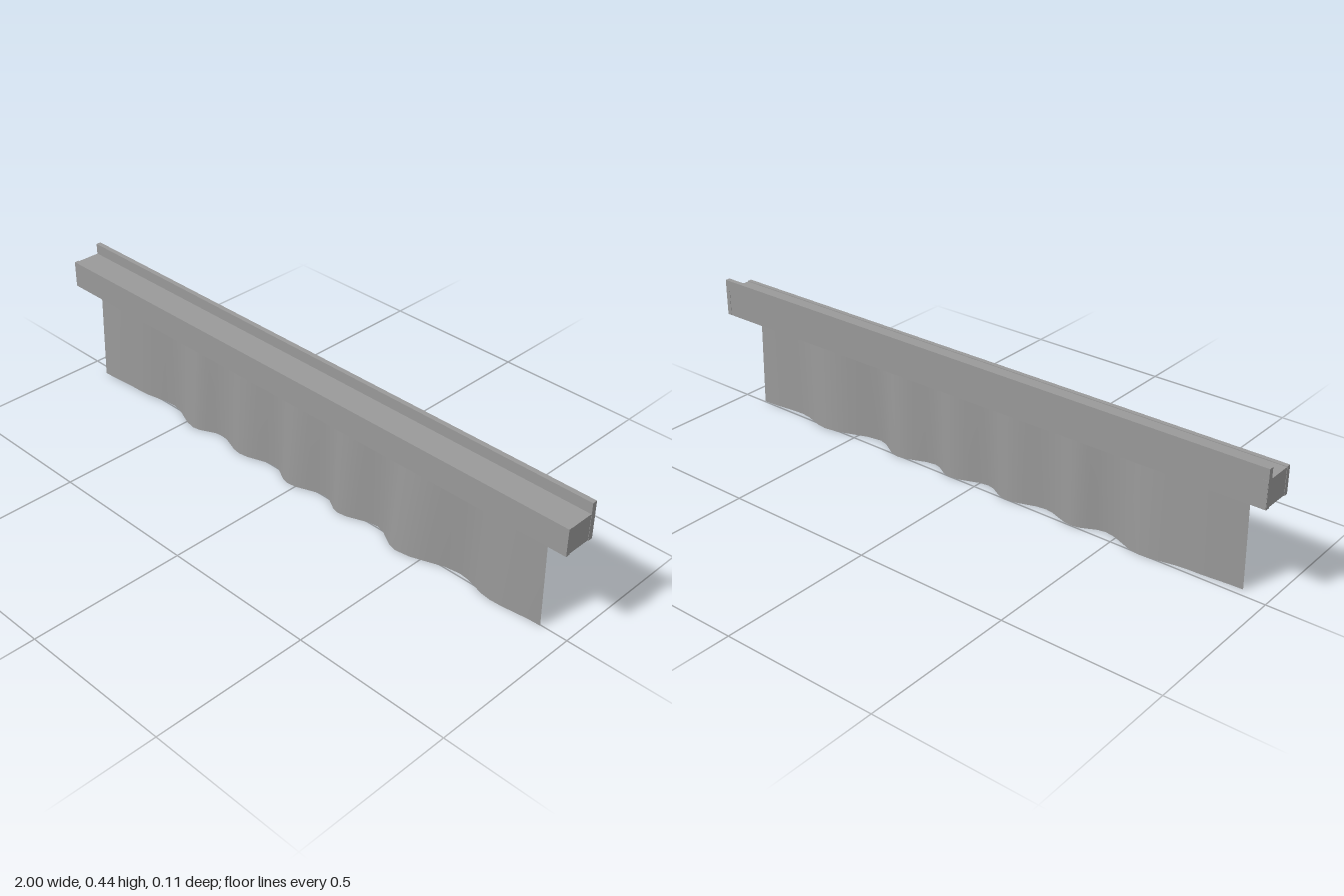
import * as THREE from 'three';

const material = new THREE.MeshStandardMaterial({ color: 0x999999 });
const clothMaterial = new THREE.MeshStandardMaterial({ color: 0x999999, side: THREE.DoubleSide });

function board(name, [x0, x1], [y0, y1], [z0, z1]) {
  const mesh = new THREE.Mesh(new THREE.BoxGeometry(x1 - x0, y1 - y0, z1 - z0), material);
  mesh.position.set((x0 + x1) / 2, (y0 + y1) / 2, (z0 + z1) / 2);
  mesh.name = name;
  return mesh;
}

// Wavy cloth: folds deepest at the hem and fading towards the rail
function makeCurtain() {
  const folds = [
    [-0.917, 0.012], [-0.75, 0.002], [-0.6, -0.02], [-0.46, 0.021], [-0.36, -0.013],
    [-0.25, 0.015], [-0.12, -0.017], [-0.03, 0.018], [0.1, -0.017], [0.18, 0.016],
    [0.31, -0.02], [0.42, 0.026], [0.62, -0.026], [0.75, 0.002], [0.913, -0.012],
  ];
  const steps = 4, line = [];
  for (let i = 0; i < folds.length - 1; i++) {
    const [xa, za] = folds[i], [xb, zb] = folds[i + 1];
    for (let s = 0; s < steps; s++) {
      const t = s / steps, ease = (1 - Math.cos(Math.PI * t)) / 2;
      line.push([xa + (xb - xa) * t, za + (zb - za) * ease]);
    }
  }
  line.push(folds[folds.length - 1]);

  const height = 0.387;
  const geometry = new THREE.PlaneGeometry(1, height, line.length - 1, 1);
  geometry.translate(0, height / 2, 0);
  const p = geometry.attributes.position;
  for (let i = 0; i < p.count; i++) {
    const [x, z] = line[i % line.length];
    p.setX(i, x);
    p.setZ(i, 0.0145 + z * (1 - p.getY(i) / 0.432));
  }
  geometry.computeVertexNormals();
  const mesh = new THREE.Mesh(geometry, clothMaterial);
  mesh.name = 'curtain';
  return mesh;
}

export function createModel() {
  const model = new THREE.Group();
  model.name = 'curtainPelmet';

  // Pelmet box, open underneath
  const pelmet = new THREE.Group();
  pelmet.name = 'pelmet';
  pelmet.add(
    board('frontBoard', [-1, 1], [0.316, 0.403], [0.041, 0.055]),
    board('backBoard', [-1, 1], [0.316, 0.436], [-0.054, -0.038]),
    board('topBoard', [-0.984, 0.984], [0.388, 0.401], [-0.038, 0.041]),
  );
  // End boards, their rear edges just proud of the back board
  for (const side of [-1, 1]) {
    const xs = [side * 0.984, side * 0.999].sort((a, b) => a - b);
    pelmet.add(board(side > 0 ? 'leftEndBoard' : 'rightEndBoard', xs, [0.318, 0.401], [-0.055, 0.041]));
  }

  model.add(pelmet, makeCurtain());
  return model;
}
